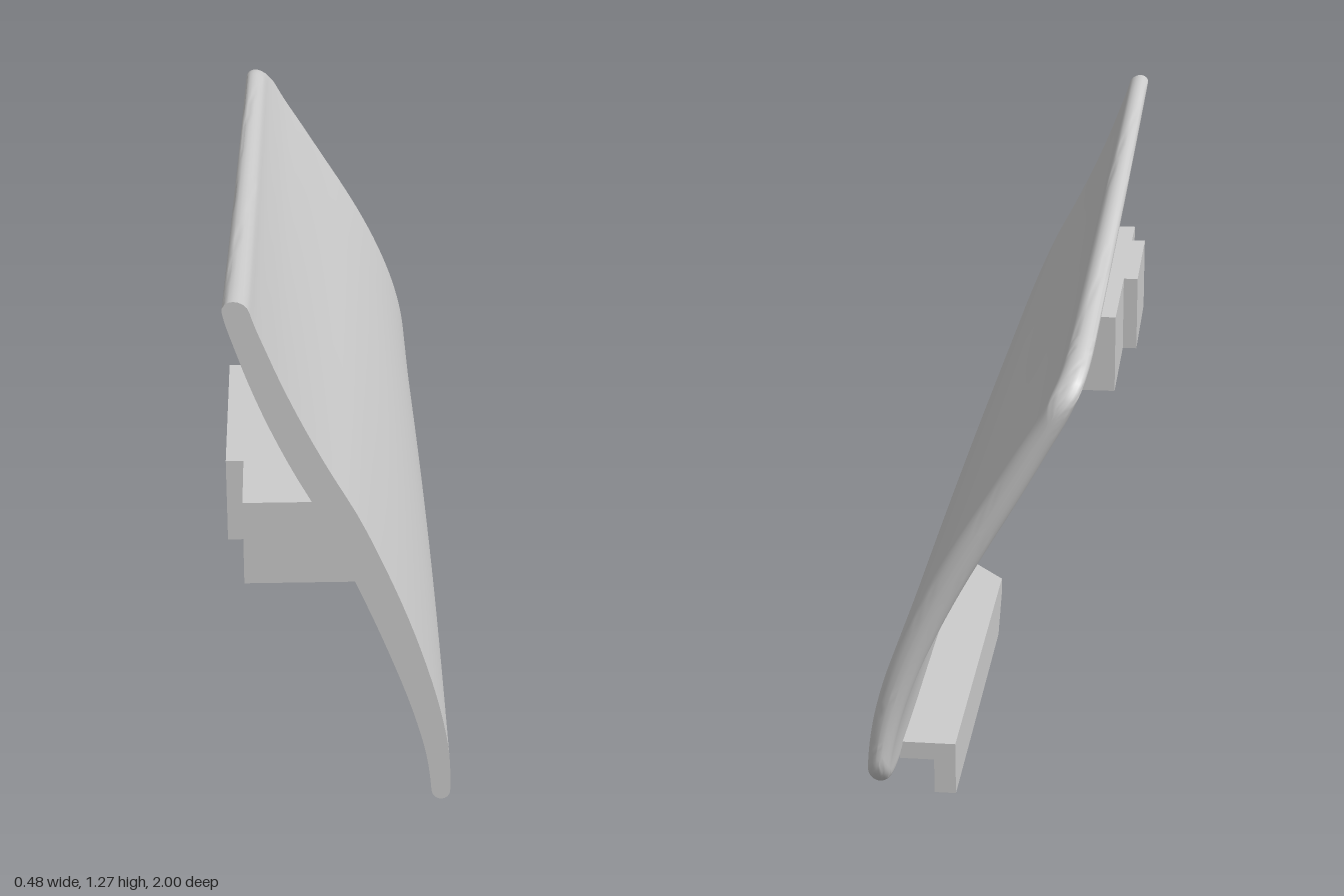
import * as THREE from 'three';
import { toCreasedNormals } from 'three/addons/utils/BufferGeometryUtils.js';

// Outer face x positions, evenly spaced from bottom to top, at the front and back ends
const FRONT = [0.222, 0.217, 0.195, 0.162, 0.122, 0.075, 0.022, -0.042, -0.1, -0.15, -0.19];
const BACK = [0.237, 0.236, 0.222, 0.195, 0.157, 0.11, 0.055, -0.005, -0.065, -0.125, -0.17];

const toCurve = (xs) => new THREE.SplineCurve(xs.map((x, i) => new THREE.Vector2(x, i / (xs.length - 1))));
const round = (d, r) => (d >= r ? 1 : Math.sqrt(Math.max(0, 1 - ((r - d) / r) ** 2)));

// Curved shell: closed cross-sections in xy, lofted from z = 1 to z = -1
function shellGeometry() {
  const front = toCurve(FRONT), back = toCurve(BACK);
  const N = 44, loop = 2 * N;
  const zs = [];
  for (let i = 0; i < 18; i++) zs.push(1 - 0.1 * i);
  for (let i = 0; i <= 16; i++) zs.push(-0.8 - 0.2 * Math.sin((i / 16) * Math.PI / 2));

  const pos = [], idx = [];
  for (const z of zs) {
    const t = (1 - z) / 2;
    const edge = 1.15 + 0.115 * z + 0.01 * z * z;
    // rounded corners at the back
    const s = Math.max(0, (-z - 0.8) / 0.2);
    const drop = 1 - Math.sqrt(Math.max(0, 1 - s ** 2.5));
    const y0 = 0.08 + 0.1 * drop, y1 = edge - 0.1 * drop;
    const endRound = Math.max(0.15, round(z + 1, 0.03));
    const bulge = 0.008 * Math.sin(Math.PI * Math.min(1, t * 1.2));
    const outer = [], inner = [];
    for (let k = 0; k <= N; k++) {
      const y = y0 + (y1 - y0) * (1 - Math.cos(Math.PI * k / N)) / 2;
      const v = THREE.MathUtils.clamp((y - 0.08) / (edge - 0.08), 0, 1);
      const x = THREE.MathUtils.lerp(front.getPoint(v).x, back.getPoint(v).x, t) + bulge * (1 - v);
      const thick = 0.038 + 0.03 * Math.sin(Math.PI * v) + 0.012 * v;
      const half = thick / 2 * endRound * round(Math.min(y - y0, y1 - y), 0.022);
      outer.push([x - thick / 2 + half, y, z]);
      inner.push([x - thick / 2 - half, y, z]);
    }
    for (let k = 0; k < N; k++) pos.push(...outer[k]);
    for (let k = N; k > 0; k--) pos.push(...inner[k]);
  }
  for (let j = 0; j < zs.length - 1; j++) {
    for (let i = 0; i < loop; i++) {
      const a = j * loop + i, b = j * loop + (i + 1) % loop;
      idx.push(a, a + loop, b, b, a + loop, b + loop);
    }
  }
  // end caps
  const last = (zs.length - 1) * loop;
  for (let k = 0; k < N; k++) {
    const a = k, b = k + 1, c = loop - k - 1, d = (loop - k) % loop;
    idx.push(a, b, c, a, c, d);
    idx.push(last + a, last + c, last + b, last + a, last + d, last + c);
  }
  const g = new THREE.BufferGeometry();
  g.setAttribute('position', new THREE.Float32BufferAttribute(pos, 3));
  g.setIndex(idx);
  return toCreasedNormals(g, 0.7);
}

function prism(points, depth) {
  const shape = new THREE.Shape(points.map(([x, y]) => new THREE.Vector2(x, y)));
  return new THREE.ExtrudeGeometry(shape, { depth, bevelEnabled: false });
}

export function createModel() {
  const group = new THREE.Group();
  const grey = new THREE.MeshStandardMaterial({ color: 0xcccccc });
  grey.name = 'lightGrey';
  const add = (name, geometry) => {
    const mesh = new THREE.Mesh(geometry, grey);
    mesh.name = name;
    group.add(mesh);
  };

  add('curvedPanel', shellGeometry());

  // Upper mounting block on the inner side, with a raised pad
  add('upperBracket', prism([[-0.207, 0.645], [0.045, 0.645], [-0.045, 0.835], [-0.207, 0.835]], 0.93).translate(0, 0, 0.07));
  add('bracketPad', new THREE.BoxGeometry(0.05, 0.19, 0.41).translate(-0.218, 0.74, 0.635));

  // Lower flange, tapered toward the front: drawn as (x, -z), extruded upward
  add('lowerFlange', prism([[0.078, 0.8], [0.078, -0.08], [0.2, -0.22], [0.2, 0.8]], 0.04)
    .rotateX(-Math.PI / 2).translate(0, 0.08, 0));

  // Lower leg with a sloped front end: drawn as (-z, y), extruded across x
  add('lowerLeg', prism([[0, 0], [0.8, 0], [0.8, 0.082], [-0.08, 0.082]], 0.047)
    .rotateY(Math.PI / 2).translate(0.078, 0, 0));

  return group;
}
